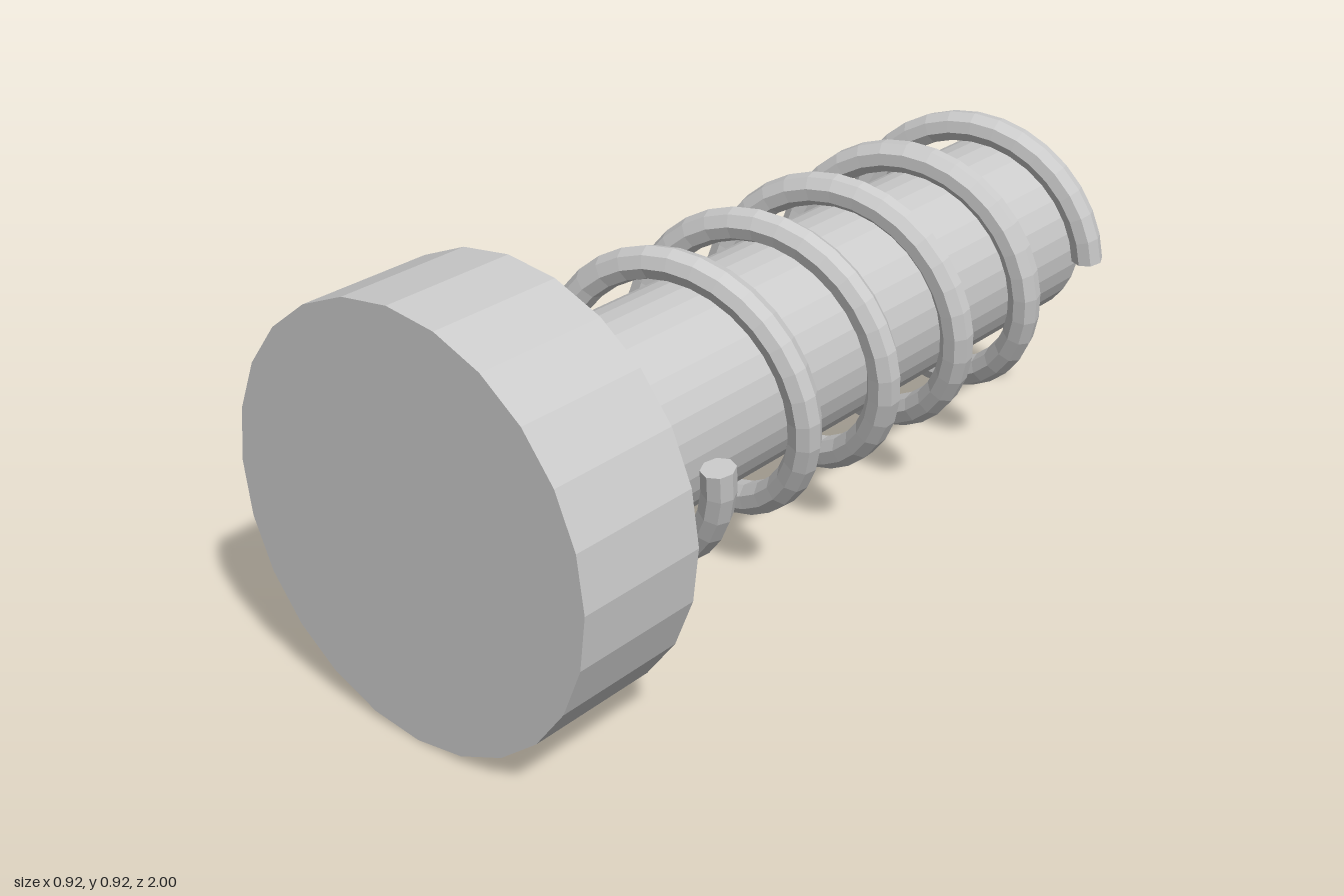
import * as THREE from 'three';

const AXIS_Y = 0.46;

// Helix around the z axis, starting on the model's left and turning downwards
class Helix extends THREE.Curve {
  constructor(radius, zStart, zEnd, turns) {
    super();
    Object.assign(this, { radius, zStart, zEnd, turns });
    this.arcLengthDivisions = 800;
  }
  getPoint(t, target = new THREE.Vector3()) {
    const a = -t * this.turns * Math.PI * 2;
    return target.set(
      this.radius * Math.cos(a),
      this.radius * Math.sin(a),
      THREE.MathUtils.lerp(this.zStart, this.zEnd, t)
    );
  }
}

export function createModel() {
  const model = new THREE.Group();
  const material = new THREE.MeshStandardMaterial({ color: 0xcccccc, flatShading: true });

  const add = (name, geometry, parent = model) => {
    const mesh = new THREE.Mesh(geometry, material);
    mesh.name = name;
    parent.add(mesh);
    return mesh;
  };

  // Cylinder lying along z between two depths
  const rod = (name, radius, zBack, zFront, sides) => {
    const geometry = new THREE.CylinderGeometry(radius, radius, zFront - zBack, sides);
    geometry.rotateX(Math.PI / 2);
    add(name, geometry).position.set(0, AXIS_Y, (zBack + zFront) / 2);
  };

  rod('head', 0.46, 0.695, 1, 24);
  rod('shaft', 0.228, -1, 0.695, 32);

  // Coil spring wound loosely around the shaft
  const spring = new THREE.Group();
  spring.name = 'spring';
  spring.position.y = AXIS_Y;
  model.add(spring);

  const wire = 0.037, sides = 8, segments = 160;
  const path = new Helix(0.288, 0.435, -0.935, 5);
  const coil = new THREE.TubeGeometry(path, segments, wire, sides, false);
  add('springCoil', coil, spring);

  // Flat discs closing both wire ends
  for (const [name, i, dir] of [['springFrontEnd', 0, -1], ['springBackEnd', segments, 1]]) {
    const basis = new THREE.Matrix4().makeBasis(
      coil.normals[i],
      coil.binormals[i].clone().multiplyScalar(dir),
      coil.tangents[i].clone().multiplyScalar(dir)
    );
    basis.setPosition(path.getPointAt(i / segments));
    add(name, new THREE.CircleGeometry(wire, sides).applyMatrix4(basis), spring);
  }

  return model;
}
